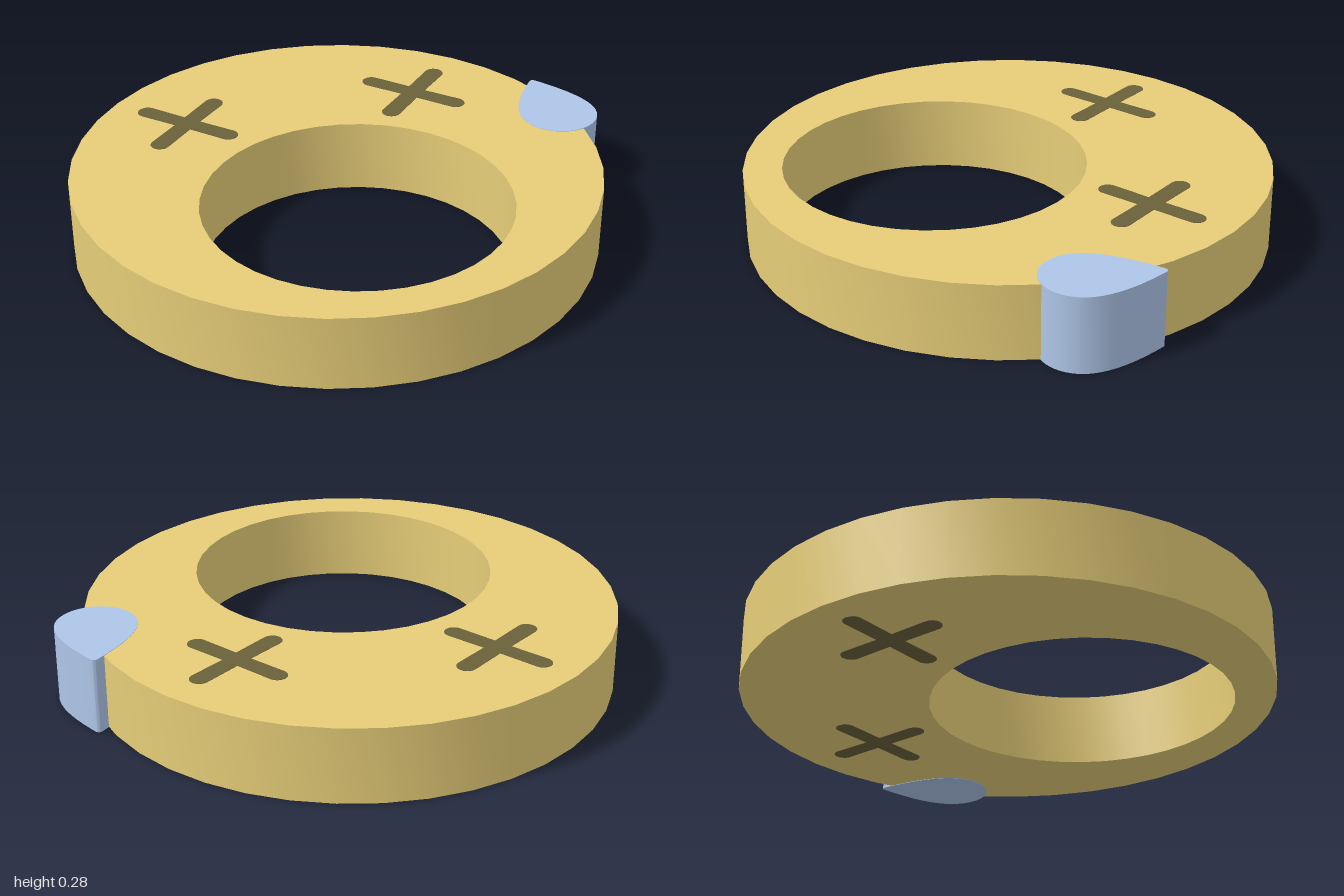
import * as THREE from 'three';
import { toCreasedNormals } from 'three/addons/utils/BufferGeometryUtils.js';

const HEIGHT = 0.276;
const INSET = 0.0015; // the ring sits a hair inside the inlaid parts

const material = (name, color) => {
  const m = new THREE.MeshStandardMaterial({ color });
  m.name = name;
  return m;
};

// Extrude an outline drawn in (x, z) upwards from y0 to y1.
function slab(name, shape, mat, y0, y1, curveSegments) {
  const geo = new THREE.ExtrudeGeometry(shape, { depth: y1 - y0, bevelEnabled: false, curveSegments });
  geo.rotateX(Math.PI / 2).translate(0, y1, 0);
  const mesh = new THREE.Mesh(toCreasedNormals(geo, Math.PI / 6), mat);
  mesh.name = name;
  return mesh;
}

// Disc with an off-centre round opening
function ringShape() {
  const shape = new THREE.Shape().absarc(-0.05, 0, 0.95, 0, Math.PI * 2, false);
  shape.holes.push(new THREE.Path().absarc(-0.05, 0.265, 0.546, 0, Math.PI * 2, true));
  return shape;
}

// Diagonal cross with four round-ended arms
function crossShape(cx, cz) {
  const shape = new THREE.Shape();
  const reach = 0.18, radius = 0.035, notch = 0.047;
  shape.moveTo(cx + notch, cz);
  for (let i = 0; i < 4; i++) {
    const a = Math.PI / 4 + i * Math.PI / 2;
    shape.absarc(cx + reach * Math.cos(a), cz + reach * Math.sin(a), radius, a - Math.PI / 2, a + Math.PI / 2, false);
    const b = a + Math.PI / 4;
    shape.lineTo(cx + notch * Math.cos(b), cz + notch * Math.sin(b));
  }
  return shape;
}

// Teardrop: narrow blunt tip towards the back, round belly towards the front
function dropShape() {
  const x = 0.855, z = -0.13, r = 0.145;
  const shape = new THREE.Shape();
  shape.moveTo(x + 0.012, -0.396);
  shape.bezierCurveTo(x + 0.06, -0.335, x + r, -0.225, x + r, z);
  shape.absarc(x, z, r, 0, Math.PI, false);
  shape.bezierCurveTo(x - r, -0.225, x - 0.06, -0.335, x - 0.012, -0.396);
  shape.quadraticCurveTo(x, -0.408, x + 0.012, -0.396);
  return shape;
}

export function createModel() {
  const gold = material('gold', 0xe6cd78);
  const darkOlive = material('dark olive', 0x6a613a);
  const paleBlue = material('pale blue', 0xafc7e9);

  const model = new THREE.Group();
  model.name = 'ringFace';
  model.add(
    slab('ring', ringShape(), gold, INSET, HEIGHT - INSET, 20),
    slab('rightEye', crossShape(-0.5, -0.441), darkOlive, 0, HEIGHT, 8),
    slab('leftEye', crossShape(0.382, -0.441), darkOlive, 0, HEIGHT, 8),
    slab('teardrop', dropShape(), paleBlue, 0, HEIGHT, 12)
  );
  return model;
}
